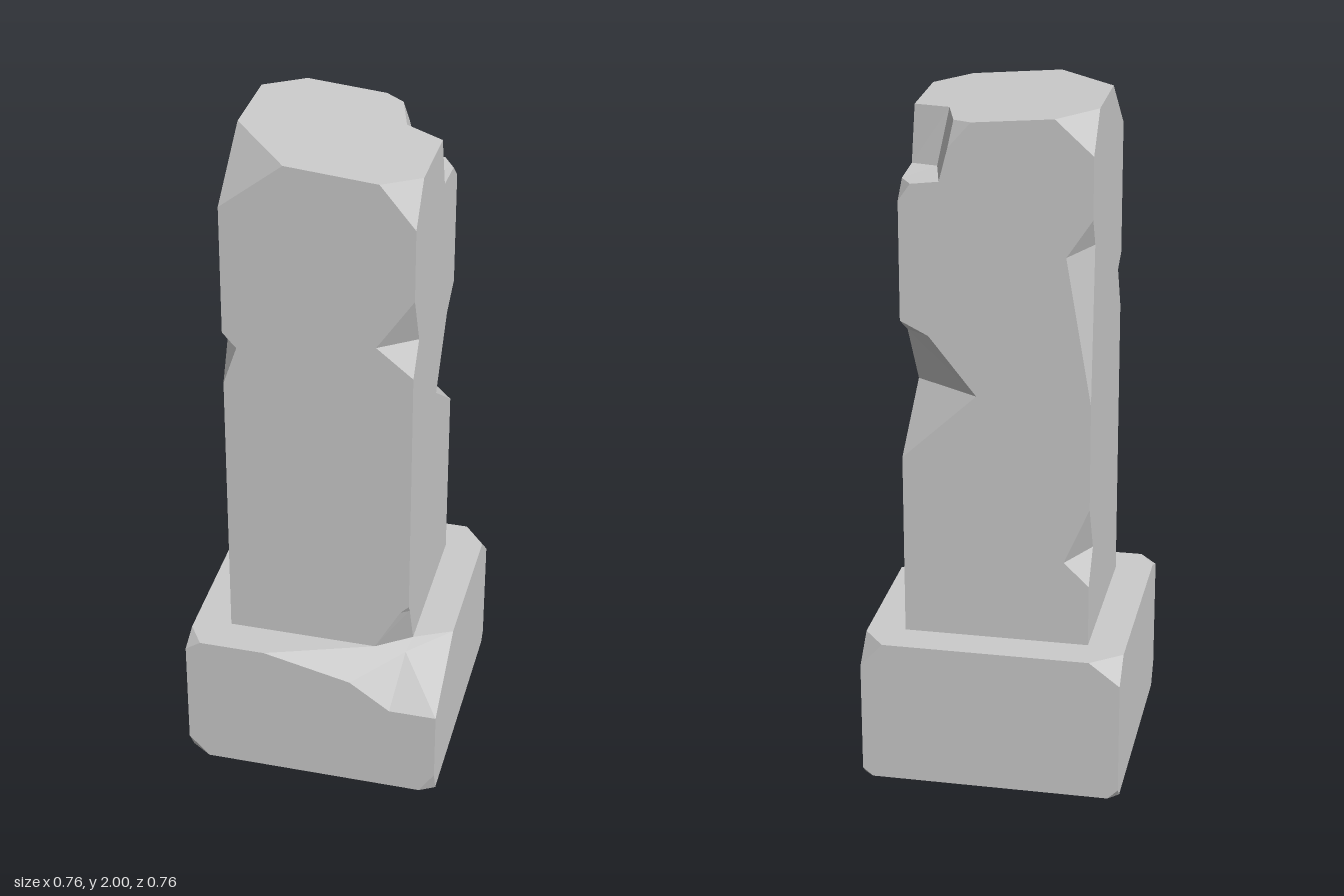
import * as THREE from 'three';

const LEDGE = 0.435; // height of the base top
const topY = (x, z) => 1.976 - 0.085 * x + 0.025 * z; // slanted top of the shaft
const T = null; // marks a point lying on the slanted top

// Flat mesh from planar polygons, each facing away from the vertical axis
function facetMesh(name, polygons) {
  const pos = [];
  for (const raw of polygons) {
    const pts = raw.filter((p, i) => p.distanceTo(raw[(i + 1) % raw.length]) > 1e-5);
    if (pts.length < 3) continue;
    const normal = new THREE.Vector3(), out = new THREE.Vector3();
    pts.forEach((p, i) => {
      normal.add(p.clone().cross(pts[(i + 1) % pts.length]));
      out.addScaledVector(p, 1 / pts.length);
    });
    out.y = 0.02;
    if (normal.dot(out) < 0) normal.negate();
    const n = normal.toArray().map(Math.abs);
    const drop = n.indexOf(Math.max(...n));
    const flat = pts.map((p) => new THREE.Vector2(...p.toArray().filter((_, k) => k !== drop)));
    for (const [a, b, c] of THREE.ShapeUtils.triangulateShape(flat, [])) {
      const A = pts[a], B = pts[b], C = pts[c];
      const turn = B.clone().sub(A).cross(C.clone().sub(A)).dot(normal);
      for (const p of turn > 0 ? [A, B, C] : [A, C, B]) pos.push(p.x, p.y, p.z);
    }
  }
  const geo = new THREE.BufferGeometry();
  geo.setAttribute('position', new THREE.Float32BufferAttribute(pos, 3));
  geo.computeVertexNormals();
  const mat = new THREE.MeshStandardMaterial({ color: 0xcccccc, flatShading: true, side: THREE.DoubleSide });
  const mesh = new THREE.Mesh(geo, mat);
  mesh.name = name;
  return mesh;
}

const V = (x, y, z) => new THREE.Vector3(x, y === T ? topY(x, z) : y, z);

// A corner has two paths of [inset, height], bottom to top: a on the
// front/back face, b on the side face. Chips fill the gap between them.
function placeCorner(h, { sx, sz, a, b, strips }) {
  return {
    a: a.map(([d, y]) => V(sx * (h - d), y, sz * h)),
    b: b.map(([d, y]) => V(sx * h, y, sz * (h - d))),
    strips: strips ?? a.length - 1,
  };
}

// Four walls between the corner paths, and the chip facets at each corner
function wallsAndChips([fr, fl, bl, br]) {
  const wall = (p, q) => [...p, ...[...q].reverse()];
  const polys = [wall(fr.a, fl.a), wall(fl.b, bl.b), wall(bl.a, br.a), wall(br.b, fr.b)];
  for (const { a, b, strips } of [fr, fl, bl, br]) {
    for (let i = 0; i < strips; i++) {
      const quad = [a[i], a[i + 1], b[i + 1], b[i]];
      // bent quads are split in two
      const skew = quad[1].clone().sub(quad[0]).cross(quad[2].clone().sub(quad[0]))
        .dot(quad[3].clone().sub(quad[0]));
      if (Math.abs(skew) > 1e-9) polys.push([quad[0], quad[1], quad[2]], [quad[0], quad[2], quad[3]]);
      else polys.push(quad);
    }
  }
  return polys;
}

const last = (list) => list[list.length - 1];

function shaft() {
  const corners = [
    { // front, +x
      sx: 1, sz: 1,
      a: [[0.10, LEDGE], [0.025, 0.575], [0, 0.6], [0, 1.385], [0.105, 1.47], [0, 1.63], [0, 1.845], [0.10, T]],
      b: [[0.07, LEDGE], [0.015, 0.575], [0, 0.6], [0, 1.385], [0.065, 1.475], [0, 1.63], [0, 1.845], [0.085, T]],
    },
    { // front, -x
      sx: -1, sz: 1,
      a: [[0, LEDGE], [0, 1.29], [0.04, 1.41], [0, 1.455], [0, 1.845], [0.18, T]],
      b: [[0, LEDGE], [0, 1.29], [0.06, 1.42], [0, 1.455], [0, 1.845], [0.205, T]],
    },
    { // back, -x
      sx: -1, sz: -1,
      a: [[0, LEDGE], [0, 0.62], [0.073, 0.69], [0, 0.86], [0, 1.174], [0.073, 1.6], [0, 1.71], [0, 1.886], [0.107, T]],
      b: [[0, LEDGE], [0, 0.62], [0.07, 0.716], [0, 0.86], [0, 1.174], [0.04, 1.63], [0, 1.71], [0, 1.886], [0.095, T]],
    },
    { // back, +x, with the broken-out step at the top
      sx: 1, sz: -1, strips: 6,
      a: [[0, LEDGE], [0, 0.98], [0.215, 1.18], [0.08, 1.35], [0, 1.39], [0, 1.735], [0.035, 1.785],
        [0.115, 1.795], [0.14, 1.89], [0.205, T]],
      b: [[0, LEDGE], [0, 0.98], [0.22, 1.14], [0.09, 1.335], [0, 1.39], [0, 1.735], [0.055, 1.785],
        [0.175, 1.795], [0.22, T]],
    },
  ].map((c) => placeCorner(0.27, c));
  const [fr, fl, bl, br] = corners;
  // step: ledge, two walls and a small side chip
  const inner = V(0.19, 1.8, -0.13), rim1 = V(0.12, T, -0.235), rim2 = V(0.16, T, -0.1);
  const step = [
    [br.a[6], br.a[7], inner, br.b[7], br.b[6]],
    [br.a[7], br.a[8], rim1, rim2, inner],
    [inner, rim2, br.b[8], br.b[7]],
    [br.a[8], br.a[9], rim1],
  ];
  const top = [last(fr.b), last(fr.a), last(fl.a), last(fl.b), last(bl.b), last(bl.a),
    br.a[9], rim1, rim2, br.b[8]];
  return facetMesh('shaft', [...wallsAndChips(corners), ...step, top]);
}

function base() {
  const corners = [
    { // front, +x, with the large break
      sx: 1, sz: 1, strips: 2,
      a: [[0.045, 0], [0, 0.07], [0, 0.29], [0.14, 0.29], [0.26, 0.375], [0.52, LEDGE]],
      b: [[0.025, 0], [0, 0.07], [0, 0.29], [0.235, LEDGE]],
    },
    { // front, -x
      sx: -1, sz: 1,
      a: [[0.06, 0], [0, 0.065], [0, 0.405], [0.045, LEDGE]],
      b: [[0.04, 0], [0, 0.065], [0, 0.405], [0.07, LEDGE]],
    },
    { // back, -x
      sx: -1, sz: -1,
      a: [[0.03, 0], [0, 0.03], [0, 0.366], [0.09, LEDGE]],
      b: [[0.03, 0], [0, 0.03], [0, 0.366], [0.07, LEDGE]],
    },
    { // back, +x
      sx: 1, sz: -1,
      a: [[0.03, 0], [0, 0.025], [0, 0.36], [0.065, LEDGE]],
      b: [[0.025, 0], [0, 0.025], [0, 0.36], [0.08, LEDGE]],
    },
  ].map((c) => placeCorner(0.38, c));
  const [fr, fl, bl, br] = corners;
  // large break running up to the foot of the shaft
  const [, , G, F, E, A] = fr.a, D = fr.b[3];
  const B = V(0.17, LEDGE, 0.27), C = V(0.27, LEDGE, 0.2), H = V(0.26, 0.42, 0.255);
  const broken = [[A, E, B], [E, F, H], [E, H, B], [F, G, H], [G, D, H], [D, C, H], [H, B, C]];
  // top ledge around the open foot of the shaft
  const s = 0.27;
  const ledge = [A, last(fl.a), last(fl.b), last(bl.b), last(bl.a), last(br.a), last(br.b), D,
    C, V(s, LEDGE, -s), V(-s, LEDGE, -s), V(-s, LEDGE, s), B];
  return facetMesh('base', [...wallsAndChips(corners), ...broken, ledge]);
}

export function createModel() {
  const group = new THREE.Group();
  group.name = 'chippedPillar';
  group.add(base(), shaft());
  return group;
}
